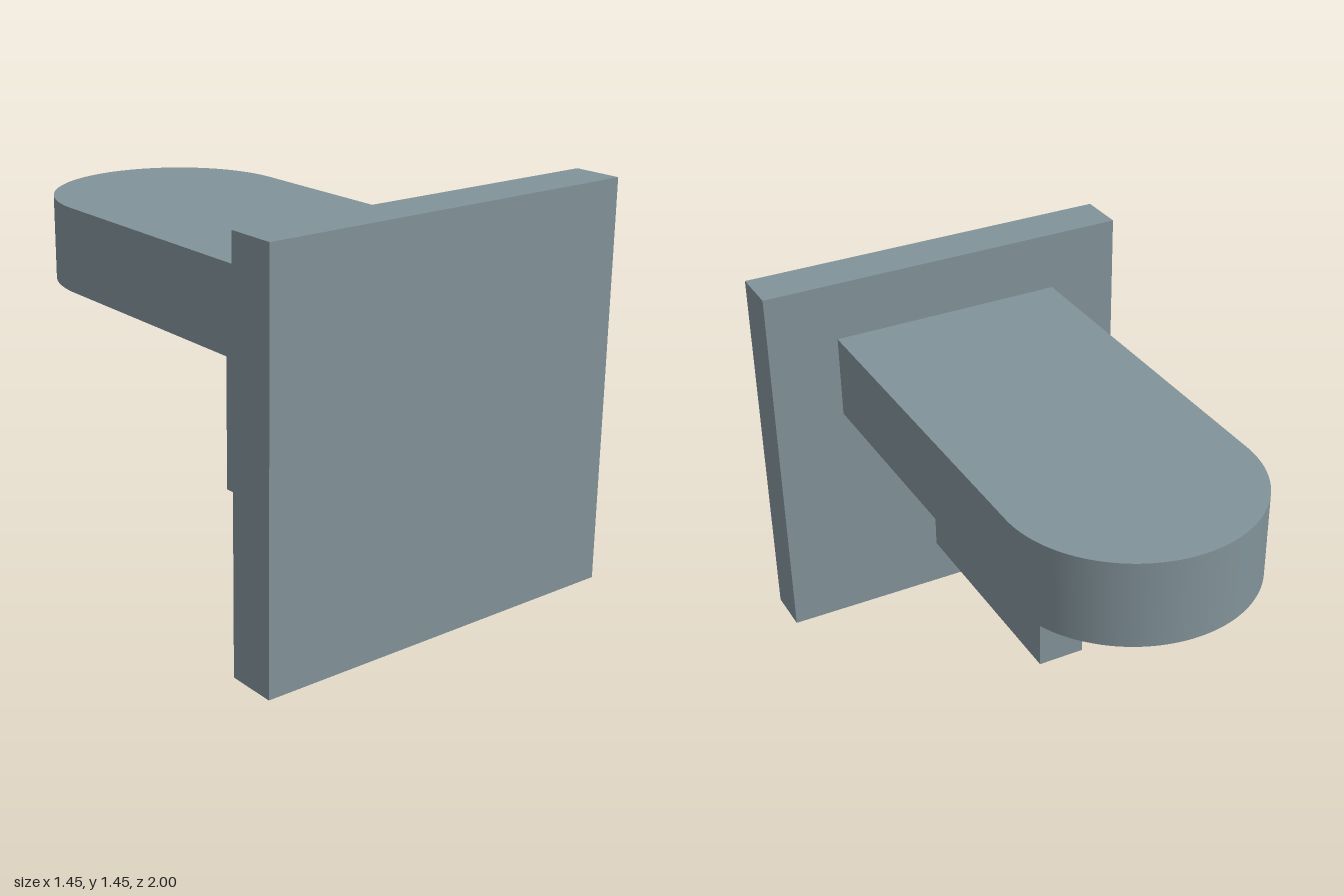
import * as THREE from 'three';
import { toCreasedNormals } from 'three/addons/utils/BufferGeometryUtils.js';

export function createModel() {
  const group = new THREE.Group();
  const slate = new THREE.MeshStandardMaterial({ color: 0x82939a });
  slate.name = 'slate grey';

  const add = (name, geometry, x, y, z) => {
    const mesh = new THREE.Mesh(geometry, slate);
    mesh.name = name;
    mesh.position.set(x, y, z);
    group.add(mesh);
  };

  const plateBack = 0.818, armHalf = 0.4545, armBottom = 0.91, armTop = 1.23;

  // Square mounting plate at the front
  add('mountingPlate', new THREE.BoxGeometry(1.4545, 1.4545, 1 - plateBack), 0, 0.7273, (1 + plateBack) / 2);

  // Horizontal arm with a half-round end, drawn in plan and extruded downwards
  const plan = new THREE.Shape();
  const arcZ = -1 + armHalf;
  plan.moveTo(-armHalf, plateBack);
  plan.lineTo(armHalf, plateBack);
  plan.lineTo(armHalf, arcZ);
  plan.absarc(0, arcZ, armHalf, 0, -Math.PI, true);
  plan.closePath();
  const arm = new THREE.ExtrudeGeometry(plan, {
    depth: armTop - armBottom, bevelEnabled: false, curveSegments: 48,
  });
  arm.rotateX(Math.PI / 2);
  add('roundedArm', toCreasedNormals(arm, 0.5), 0, armTop, 0);

  // Narrow support rib under the arm
  const ribBottom = 0.184, ribBack = -0.09;
  add('supportRib', new THREE.BoxGeometry(0.182, armBottom - ribBottom, plateBack - ribBack),
    0, (armBottom + ribBottom) / 2, (plateBack + ribBack) / 2);

  return group;
}
